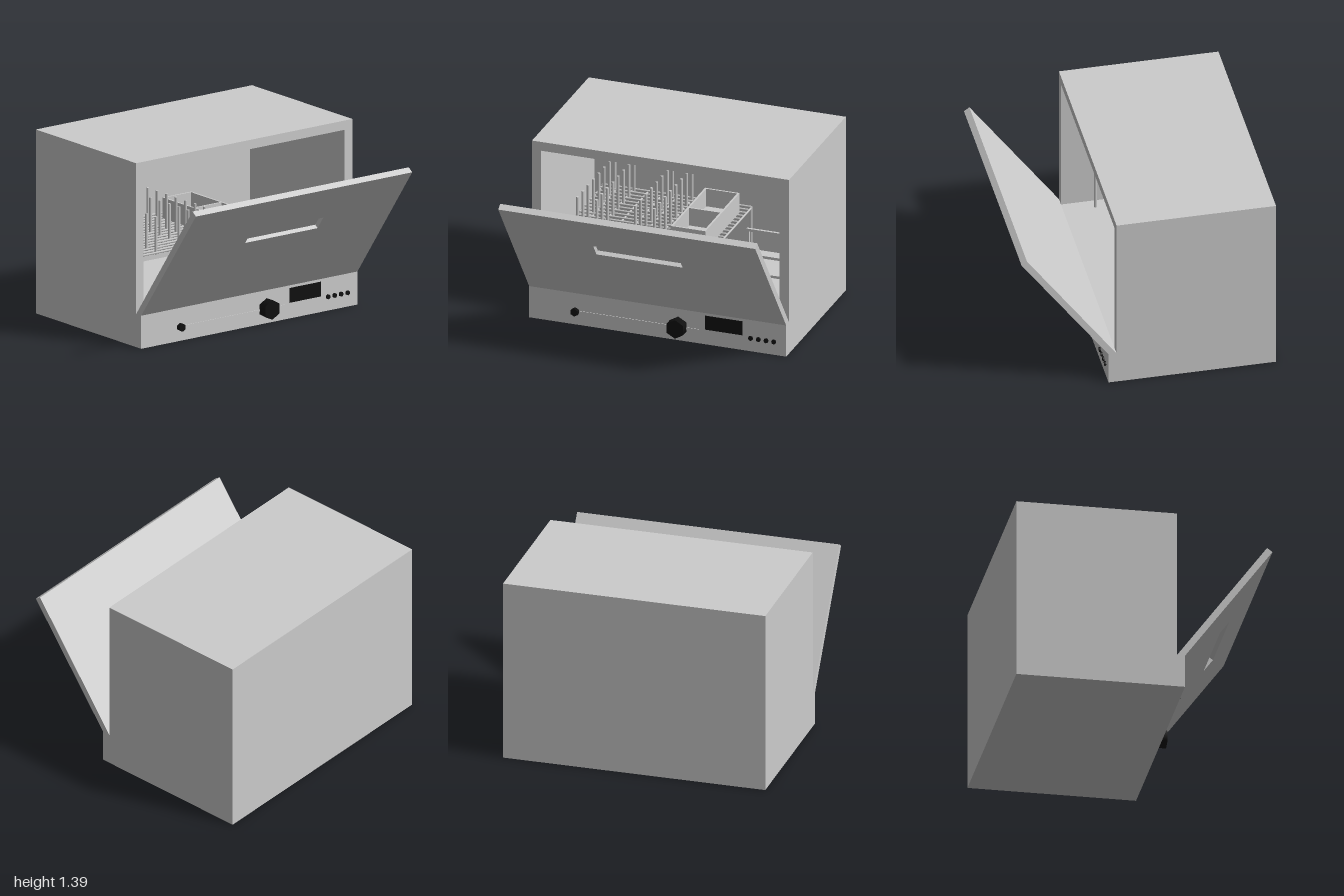
import * as THREE from 'three';

export function createModel() {
  const model = new THREE.Group();
  const grey = new THREE.MeshStandardMaterial({ color: 0xcccccc });
  grey.name = 'light grey';
  const black = new THREE.MeshStandardMaterial({ color: 0x101010 });
  black.name = 'black';

  const add = (parent, name, geometry, material = grey) => {
    const mesh = new THREE.Mesh(geometry, material);
    mesh.name = name;
    parent.add(mesh);
    return mesh;
  };
  const group = (name) => {
    const g = new THREE.Group();
    g.name = name;
    model.add(g);
    return g;
  };
  // Box given by its two extreme corners
  const box = (parent, name, x0, x1, y0, y1, z0, z1, material) =>
    add(parent, name, new THREE.BoxGeometry(x1 - x0, y1 - y0, z1 - z0), material)
      .position.set((x0 + x1) / 2, (y0 + y1) / 2, (z0 + z1) / 2);
  // Side profile of [z, y] points, extruded from x0 to x1
  const profile = (parent, name, points, x0, x1) => {
    const shape = new THREE.Shape(points.map(([z, y]) => new THREE.Vector2(z, y)));
    const geometry = new THREE.ExtrudeGeometry(shape, { depth: x1 - x0, bevelEnabled: false });
    add(parent, name, geometry.rotateY(-Math.PI / 2).translate(x1, 0, 0));
  };

  // Cabinet: base with front panel, side walls, and back wall with roof
  const cabinet = group('cabinet');
  box(cabinet, 'base', -1, 1, 0, 0.25, -0.95, 0.3);
  box(cabinet, 'rightWall', -1, -0.93, 0.25, 1.39, -0.95, 0.24);
  box(cabinet, 'leftWall', 0.925, 1, 0.25, 1.39, -0.95, 0.24);
  profile(cabinet, 'backAndRoof', [
    [-0.95, 0.25], [-0.88, 0.25], [-0.88, 1.32], [0.24, 1.32], [0.24, 1.39], [-0.95, 1.39],
  ], -0.93, 0.925);

  // Half-open door; s runs up the outer face, d goes inward
  const door = group('door');
  const at = (s, d) => [0.3 + 0.59 * s - 0.808 * d, 0.25 + 0.808 * s + 0.59 * d];
  const outline = [[0.24, 0.25], [0.3, 0.25], at(1.1, 0), at(1.1, 0.05)];
  const recessed = [...outline];
  recessed.splice(2, 0, at(0.644, 0), at(0.644, 0.034), at(0.761, 0.034), at(0.761, 0));
  profile(door, 'rightDoorPanel', outline, -1, -0.335);
  profile(door, 'handleRecessPanel', recessed, -0.335, 0.335);
  profile(door, 'leftDoorPanel', outline, 0.335, 1);

  // Controls on the front panel
  const controls = group('controls');
  const knob = (name, x, y, radius, depth, sides) =>
    add(controls, name,
      new THREE.CylinderGeometry(radius, radius, depth, sides).rotateX(Math.PI / 2).toNonIndexed(), black)
      .position.set(x, y, 0.3 + depth / 2);
  box(controls, 'sliderTrack', -0.61, 0.335, 0.099, 0.113, 0.3, 0.305);
  knob('mainKnob', 0.16, 0.115, 0.074, 0.07, 6);
  knob('smallKnob', -0.64, 0.106, 0.031, 0.03, 6);
  for (let i = 0; i < 4; i++) knob('button', 0.725 + i * 0.06, 0.106, 0.018, 0.012, 8);
  box(controls, 'display', 0.37, 0.66, 0.12, 0.23, 0.3, 0.306, black);

  // Wire rack: grid, rim and rows of upright tines
  const rack = group('dishRack');
  const wire = (name, a, b, radius = 0.008) => {
    const from = new THREE.Vector3(...a), to = new THREE.Vector3(...b);
    const mesh = add(rack, name, new THREE.CylinderGeometry(radius, radius, from.distanceTo(to), 6));
    mesh.position.copy(from).add(to).multiplyScalar(0.5);
    mesh.quaternion.setFromUnitVectors(new THREE.Vector3(0, 1, 0), to.sub(from).normalize());
  };
  for (let i = 0; i <= 10; i++) {
    const x = -0.85 + i * 0.115;
    wire('lengthWire', [x, 0.59, -0.85], [x, 0.59, 0]);
  }
  for (let i = 0; i <= 15; i++) {
    const z = -0.85 + i * 0.0567;
    wire('crossWire', [-0.85, 0.6, z], [0.3, 0.6, z]);
  }
  for (const x of [-0.75, -0.6, -0.3, -0.15])
    for (let i = 0; i < 8; i++) {
      const z = -0.04 - i * 0.112;
      wire('tine', [x, 0.59, z], [x, 0.86, z], 0.011);
    }
  for (const x of [-0.85, 0.3])
    for (const z of [-0.85, 0]) wire('rackLeg', [x, 0.25, z], [x, 0.6, z], 0.012);

  // Cutlery basket with a divider
  const basket = group('cutleryBasket');
  box(basket, 'basketFloor', -0.01, 0.26, 0.605, 0.62, -0.72, 0);
  for (const x of [-0.01, 0.245]) box(basket, 'basketSide', x, x + 0.015, 0.605, 0.76, -0.72, 0);
  for (const z of [-0.72, -0.36, -0.015])
    box(basket, 'basketDivider', 0.005, 0.245, 0.605, 0.76, z, z + 0.015);

  // Low side holder with a raised back frame
  const holder = group('sideHolder');
  for (const z of [-0.5, -0.2]) box(holder, 'holderRail', 0.4, 0.8, 0.38, 0.4, z, z + 0.02);
  for (const x of [0.4, 0.78]) {
    box(holder, 'holderSide', x, x + 0.02, 0.38, 0.4, -0.48, -0.2);
    box(holder, 'holderPost', x, x + 0.02, 0.25, 0.6, -0.5, -0.48);
    box(holder, 'holderFoot', x, x + 0.02, 0.25, 0.38, -0.2, -0.18);
  }
  box(holder, 'holderTopRail', 0.42, 0.78, 0.58, 0.6, -0.5, -0.48);
  return model;
}
